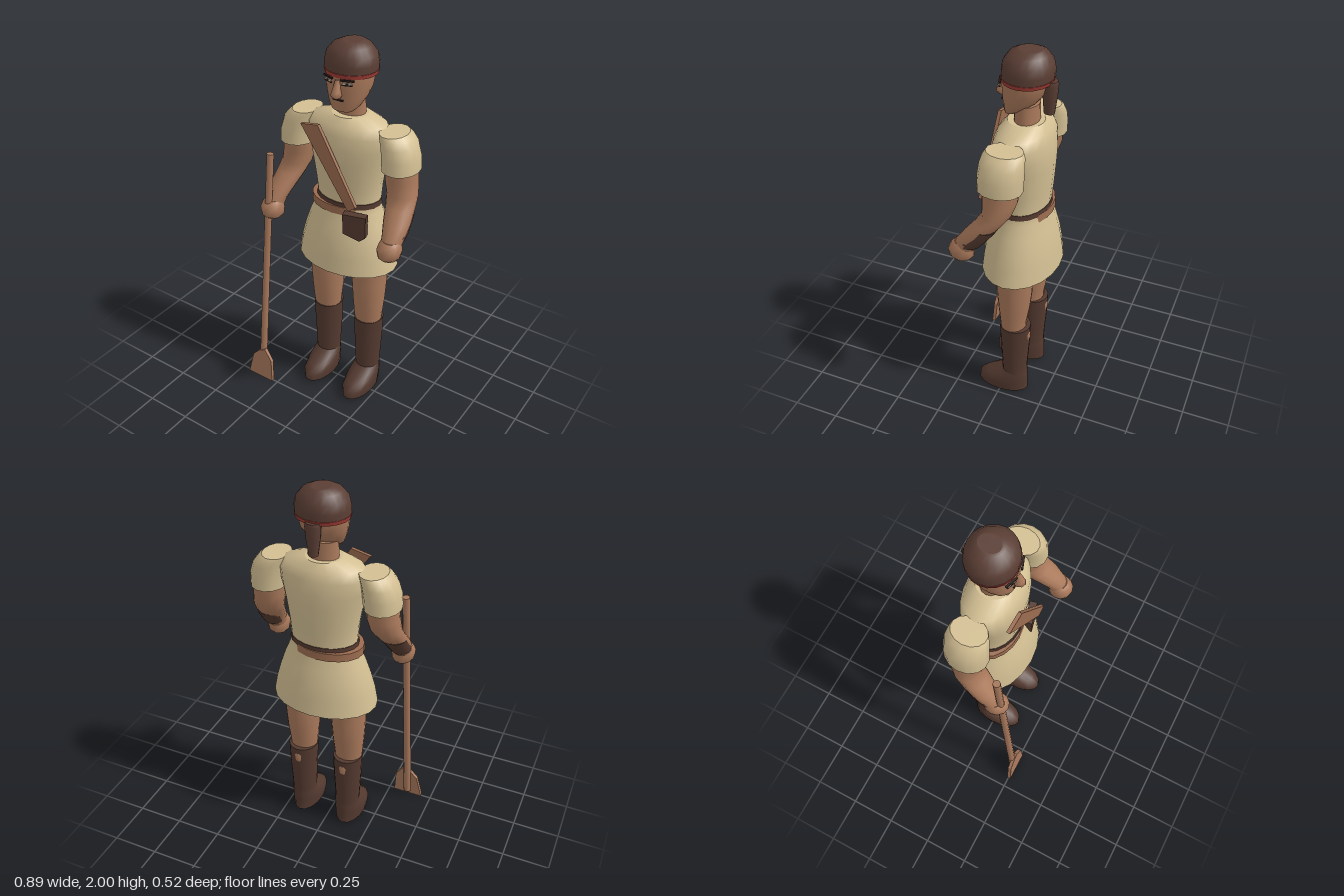
import * as THREE from 'three';

const mat = (name, color) => Object.assign(new THREE.MeshStandardMaterial({ color }), { name });

// Smooth tube through elliptical sections [x, y, z, rx, rz], bottom to top, with flat end caps
function loft(rings, n = 16) {
  const pos = [], idx = [];
  const addRing = ([x, y, z, rx, rz]) => {
    const start = pos.length / 3;
    for (let i = 0; i < n; i++) {
      const a = (i / n) * Math.PI * 2;
      pos.push(x + rx * Math.cos(a), y, z + rz * Math.sin(a));
    }
    return start;
  };
  const starts = rings.map(addRing);
  for (let r = 0; r + 1 < rings.length; r++) {
    for (let i = 0; i < n; i++) {
      const j = (i + 1) % n, lo = starts[r], hi = starts[r + 1];
      idx.push(lo + i, hi + i, lo + j, lo + j, hi + i, hi + j);
    }
  }
  [[rings[0], false], [rings[rings.length - 1], true]].forEach(([ring, top]) => {
    const s = addRing(ring), c = pos.length / 3;
    pos.push(ring[0], ring[1], ring[2]);
    for (let i = 0; i < n; i++) {
      const j = (i + 1) % n;
      if (top) idx.push(c, s + j, s + i);
      else idx.push(c, s + i, s + j);
    }
  });
  const g = new THREE.BufferGeometry();
  g.setAttribute('position', new THREE.Float32BufferAttribute(pos, 3));
  g.setIndex(idx);
  g.computeVertexNormals();
  return g;
}

// Flat plate from an outline in the front plane
function plate(points, depth) {
  const shape = new THREE.Shape(points.map(([x, y]) => new THREE.Vector2(x, y)));
  return new THREE.ExtrudeGeometry(shape, { depth, bevelEnabled: false });
}

export function createModel() {
  const skin = mat('skin', 0xab7a5c);
  const cloth = mat('tunic cloth', 0xd3bf93);
  const leather = mat('tan leather', 0x9c6c50);
  const dark = mat('dark leather', 0x543a30);
  const hairMat = mat('hair', 0x5a3e34);
  const wood = mat('wood', 0xa8785c);
  const red = mat('red band', 0xa03c34);
  const black = mat('dark lines', 0x2a1c18);
  const eyeWhite = mat('eye white', 0xc9b8a4);

  const model = new THREE.Group();
  const body = new THREE.Group();
  body.name = 'body';
  body.position.x = 0.025;
  model.add(body);
  const add = (name, geo, material, parent = body) => {
    const m = new THREE.Mesh(geo, material);
    m.name = name;
    parent.add(m);
    return m;
  };

  // Tunic with flared skirt
  add('tunic', loft([
    [0, 0.83, -0.061, 0.28, 0.2], [0, 0.92, -0.061, 0.263, 0.19], [0, 1.0, -0.062, 0.24, 0.177],
    [0, 1.08, -0.064, 0.213, 0.155], [0, 1.15, -0.067, 0.183, 0.133], [0, 1.2, -0.069, 0.173, 0.125],
    [0, 1.3, -0.068, 0.181, 0.136], [0, 1.43, -0.066, 0.202, 0.146], [0, 1.5, -0.066, 0.218, 0.147],
    [0, 1.57, -0.067, 0.228, 0.138], [0, 1.615, -0.068, 0.2, 0.12], [0, 1.65, -0.07, 0.09, 0.09],
  ], 20), cloth);

  // Belt, waistband, shoulder strap, pouch
  const belt = add('belt', loft([[0, 1.145, -0.068, 0.19, 0.14], [0, 1.187, -0.068, 0.188, 0.138]], 20), leather);
  belt.rotation.z = 0.015;
  add('waistband', loft([[0, 1.18, -0.068, 0.179, 0.131], [0, 1.208, -0.068, 0.177, 0.13]], 20), dark);
  const strap = add('shoulderStrap',
    plate([[-0.175, 1.602], [0.11, 1.215], [0.155, 1.248], [-0.07, 1.622]], 0.018), leather);
  strap.position.z = 0.09;
  strap.rotation.y = -0.06;
  const pouch = add('pouch',
    plate([[-0.06, 1.175], [-0.058, 1.065], [0.03, 1.035], [0.06, 1.06], [0.06, 1.175]], 0.04), dark);
  pouch.position.set(0.115, 0, 0.045);
  pouch.rotation.y = 0.25;

  // Head and neck
  add('neck', loft([[0, 1.62, -0.075, 0.078, 0.06], [0, 1.74, -0.075, 0.074, 0.06]]), skin);
  add('head', loft([
    [0, 1.685, -0.002, 0.055, 0.034], [0, 1.71, -0.022, 0.08, 0.057], [0, 1.75, -0.045, 0.1, 0.084],
    [0, 1.8, -0.062, 0.115, 0.105], [0, 1.86, -0.07, 0.123, 0.115], [0, 1.9, -0.07, 0.12, 0.11],
  ], 20), skin);
  add('nose', loft([
    [0, 1.758, 0.045, 0.018, 0.022], [0, 1.772, 0.052, 0.028, 0.03],
    [0, 1.79, 0.05, 0.022, 0.026], [0, 1.845, 0.038, 0.012, 0.014],
  ], 8), skin);
  add('mouth', new THREE.BoxGeometry(0.056, 0.008, 0.008), black).position.set(0, 1.745, 0.038);
  for (const s of [-1, 1]) {
    const eye = new THREE.Group();
    eye.name = s > 0 ? 'leftEye' : 'rightEye';
    eye.position.set(s * 0.052, 1.838, 0.04);
    eye.rotation.y = s * 0.35;
    body.add(eye);
    add('brow', new THREE.BoxGeometry(0.066, 0.008, 0.009), black, eye).position.y = 0.012;
    add('eyeball', new THREE.BoxGeometry(0.044, 0.009, 0.006), eyeWhite, eye).position.y = -0.003;
    add('pupil', new THREE.BoxGeometry(0.014, 0.009, 0.008), black, eye).position.y = -0.003;
    add('lash', new THREE.BoxGeometry(0.05, 0.005, 0.008), black, eye).position.y = -0.01;
  }

  // Hair, headband and tied tail
  add('hair', loft([
    [0, 1.862, -0.077, 0.131, 0.121], [0, 1.905, -0.079, 0.133, 0.124], [0, 1.945, -0.079, 0.124, 0.116],
    [0, 1.98, -0.08, 0.095, 0.092], [0, 1.997, -0.085, 0.058, 0.064], [0, 2.0, -0.088, 0.045, 0.055],
  ], 20), hairMat);
  add('headband', loft([[0, 1.854, -0.076, 0.131, 0.121], [0, 1.873, -0.077, 0.134, 0.125]], 20), red);
  add('hairTail', loft([
    [0, 1.7, -0.182, 0.022, 0.026], [0, 1.78, -0.184, 0.034, 0.034],
    [0, 1.85, -0.185, 0.04, 0.038], [0, 1.865, -0.183, 0.036, 0.036],
  ], 10), hairMat);

  // Limbs, mirrored left and right
  for (const s of [-1, 1]) {
    const side = s > 0 ? 'left' : 'right';
    const limb = (name, rings, material, n) =>
      add(side + name, loft(rings.map(([x, ...rest]) => [s * x, ...rest]), n), material);

    limb('Sleeve', [
      [0.298, 1.435, -0.06, 0.092, 0.11], [0.294, 1.5, -0.062, 0.093, 0.111],
      [0.28, 1.56, -0.064, 0.088, 0.107], [0.262, 1.595, -0.065, 0.078, 0.1], [0.25, 1.612, -0.065, 0.07, 0.09],
    ], cloth, 14);
    limb('Arm', [
      [0.352, 1.1, 0.105, 0.05, 0.055], [0.351, 1.14, 0.082, 0.055, 0.062], [0.341, 1.2, 0.034, 0.068, 0.067],
      [0.326, 1.26, -0.018, 0.075, 0.068], [0.314, 1.31, -0.052, 0.08, 0.07], [0.302, 1.38, -0.062, 0.081, 0.085],
      [0.296, 1.46, -0.064, 0.08, 0.09],
    ], skin);
    limb('Bracer', [
      [0.354, 1.125, 0.082, 0.051, 0.062], [0.353, 1.15, 0.062, 0.056, 0.064],
      [0.344, 1.2, 0.022, 0.064, 0.064], [0.338, 1.235, -0.006, 0.067, 0.06],
    ], dark);
    limb('Hand', [
      [0.352, 1.038, 0.115, 0.042, 0.045], [0.352, 1.055, 0.117, 0.056, 0.062],
      [0.354, 1.09, 0.119, 0.062, 0.066], [0.353, 1.12, 0.112, 0.054, 0.058], [0.353, 1.135, 0.105, 0.045, 0.045],
    ], skin, 12);

    limb('Leg', [
      [0.132, 0.42, -0.062, 0.07, 0.066], [0.132, 0.5, -0.06, 0.079, 0.07], [0.132, 0.6, -0.064, 0.087, 0.084],
      [0.132, 0.72, -0.066, 0.093, 0.095], [0.132, 0.9, -0.066, 0.098, 0.101],
    ], skin);
    limb('Calf', [
      [0.132, 0.365, -0.125, 0.012, 0.022], [0.132, 0.39, -0.122, 0.032, 0.032],
      [0.132, 0.425, -0.124, 0.034, 0.032], [0.132, 0.45, -0.128, 0.012, 0.022],
    ], skin, 10);
    limb('Boot', [
      [0.132, 0.13, -0.068, 0.067, 0.068], [0.132, 0.2, -0.068, 0.069, 0.071],
      [0.132, 0.35, -0.07, 0.076, 0.08], [0.132, 0.47, -0.07, 0.079, 0.084],
    ], dark);
    limb('Foot', [
      [0.132, 0.01, 0.0, 0.076, 0.145], [0.132, 0.05, 0.0, 0.082, 0.142], [0.132, 0.085, -0.022, 0.08, 0.12],
      [0.132, 0.115, -0.048, 0.075, 0.092], [0.132, 0.145, -0.068, 0.067, 0.068],
    ], dark);
  }

  // Paddle held in the right hand
  const paddle = new THREE.Group();
  paddle.name = 'paddle';
  model.add(paddle);
  const top = new THREE.Vector3(-0.325, 1.398, 0.122), tip = new THREE.Vector3(-0.362, 0.03, 0.237);
  const dir = top.clone().sub(tip);
  const shaft = add('paddleShaft', new THREE.CylinderGeometry(0.019, 0.021, dir.length(), 10), wood, paddle);
  shaft.position.copy(top).add(tip).multiplyScalar(0.5);
  shaft.quaternion.setFromUnitVectors(new THREE.Vector3(0, 1, 0), dir.normalize());
  const blade = add('paddleBlade', plate([
    [-0.445, 0], [-0.28, 0], [-0.288, 0.135], [-0.333, 0.2], [-0.378, 0.175], [-0.415, 0.135],
  ], 0.02), wood, paddle);
  blade.position.z = 0.243;
  blade.rotation.x = -0.08;

  return model;
}
